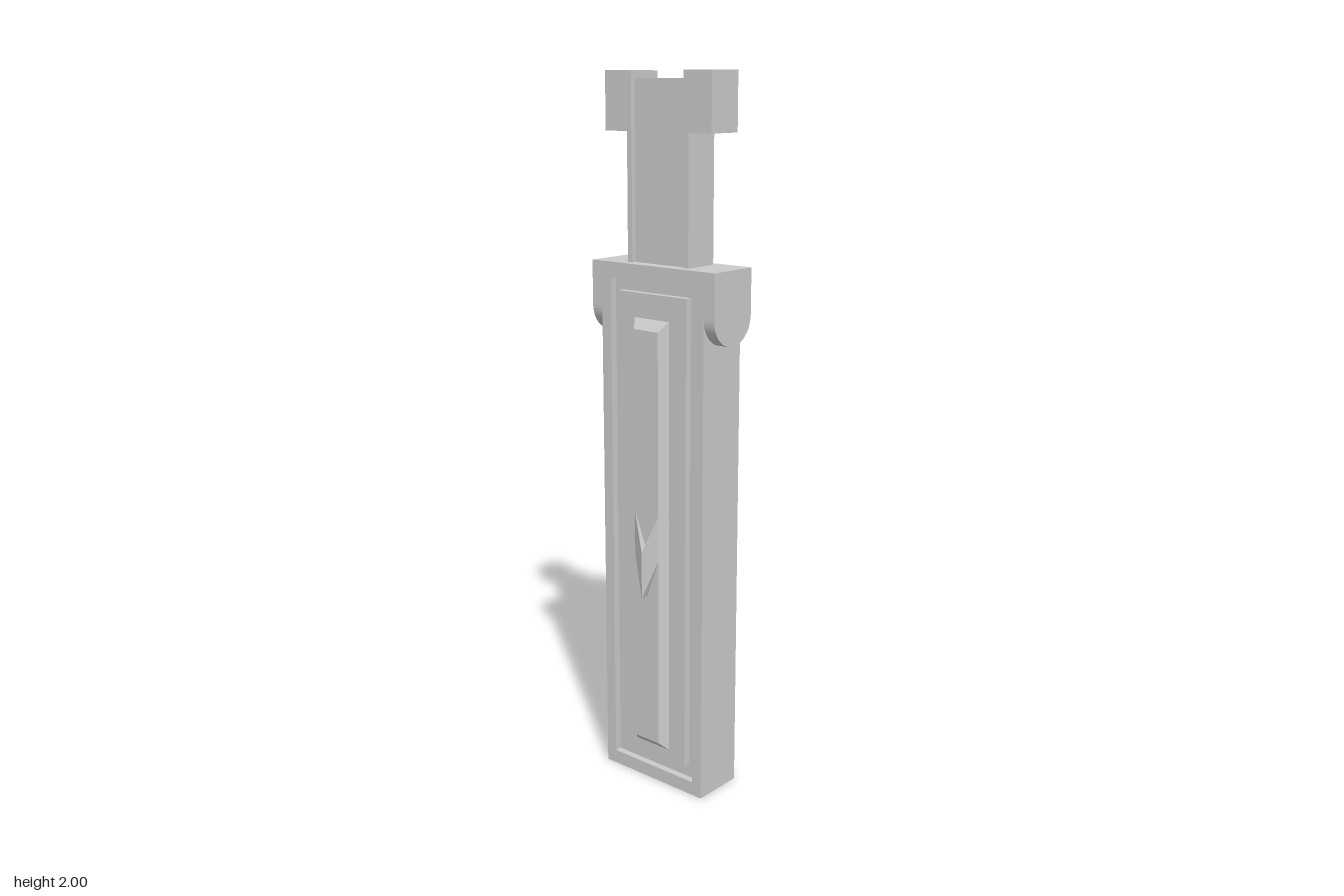
import * as THREE from 'three';

const grey = new THREE.MeshStandardMaterial({ color: 0xcccccc, flatShading: true });

function add(parent, name, geometry, x = 0, y = 0, z = 0) {
  const mesh = new THREE.Mesh(geometry, grey);
  mesh.name = name;
  mesh.position.set(x, y, z);
  parent.add(mesh);
  return mesh;
}

// Box given by its half width, vertical range and half depth
function block(parent, name, x0, x1, y0, y1, z0, z1) {
  return add(parent, name, new THREE.BoxGeometry(x1 - x0, y1 - y0, z1 - z0),
    (x0 + x1) / 2, (y0 + y1) / 2, (z0 + z1) / 2);
}

// Rectangle outline, centred on x = 0
function rect(Type, w, y0, y1) {
  return new Type([[-w, y0], [w, y0], [w, y1], [-w, y1]].map(p => new THREE.Vector2(...p)));
}

// Flat faces from convex polygons, corners counter-clockwise
function faces(polygons) {
  const pos = [];
  for (const p of polygons)
    for (let i = 1; i < p.length - 1; i++) pos.push(...p[0], ...p[i], ...p[i + 1]);
  const g = new THREE.BufferGeometry();
  g.setAttribute('position', new THREE.Float32BufferAttribute(pos, 3));
  g.computeVertexNormals();
  return g;
}

// Long bevelled bar standing out from the panel
function ridgeGeometry() {
  const ring = (w, y0, y1, z) => [[-w, y0, z], [w, y0, z], [w, y1, z], [-w, y1, z]];
  const low = ring(0.063, 0.11, 1.36, 0.075);
  const top = ring(0.042, 0.135, 1.33, 0.1);
  const sides = low.map((p, i) => [p, low[(i + 1) % 4], top[(i + 1) % 4], top[i]]);
  return faces([top, ...sides]);
}

// Pointed V that rises from the bar towards its centre line
function chevronGeometry() {
  const polygons = [];
  for (const s of [1, -1]) {
    const peak = [0, 0.71, 0.122], tip = [0, 0.575, 0.122];
    const peakBase = [0, 0.71, 0.099], tipBase = [0, 0.575, 0.099];
    const shoulder = [s * 0.043, 0.82, 0.1];
    const edge = [s * 0.043, 0.69, 0.1];
    const wing = [s * 0.065, 0.81, 0.077];
    const half = [
      [peak, tip, edge, shoulder],
      [shoulder, edge, wing],
      [peak, shoulder, peakBase],
      [tip, tipBase, edge],
    ];
    polygons.push(...half.map(p => (s > 0 ? p : p.slice().reverse())));
  }
  return faces(polygons);
}

export function createModel() {
  const model = new THREE.Group();
  model.name = 'sheathedTool';

  // Case
  block(model, 'caseCore', -0.18, 0.18, 0, 1.5, -0.057, 0.057);

  // Both broad sides carry the same frame, groove, panel and bar
  for (const side of ['front', 'back']) {
    const face = new THREE.Group();
    face.name = side + 'Face';
    if (side === 'back') face.rotation.y = Math.PI;
    const frame = rect(THREE.Shape, 0.18, 0, 1.5);
    frame.holes.push(rect(THREE.Path, 0.147, 0.04, 1.455));
    add(face, 'frame', new THREE.ExtrudeGeometry(frame, { depth: 0.02, bevelEnabled: false }), 0, 0, 0.057);
    block(face, 'panel', -0.12, 0.12, 0.08, 1.425, 0.05, 0.077);
    add(face, 'ridge', ridgeGeometry());
    add(face, 'chevron', chevronGeometry());
    model.add(face);
  }

  // Round-bottomed lugs on the narrow sides
  const lug = new THREE.Shape();
  lug.moveTo(-0.077, 1.5);
  lug.lineTo(-0.077, 1.376);
  lug.absarc(0, 1.376, 0.077, Math.PI, Math.PI * 2, false);
  lug.lineTo(0.077, 1.5);
  const lugGeometry = new THREE.ExtrudeGeometry(lug, { depth: 0.036, bevelEnabled: false, curveSegments: 14 });
  lugGeometry.rotateY(Math.PI / 2);
  add(model, 'leftLug', lugGeometry, 0.179);
  add(model, 'rightLug', lugGeometry, -0.215);

  // Upper stem with raised rails and a block at each top corner
  block(model, 'stem', -0.092, 0.092, 1.49, 1.98, -0.039, 0.039);
  for (const s of [1, -1]) {
    const name = s > 0 ? 'left' : 'right';
    const [a, b, c] = [0.09 * s, 0.106 * s, 0.182 * s];
    block(model, name + 'Rail', Math.min(a, b), Math.max(a, b), 1.49, 1.85, -0.052, 0.052);
    block(model, name + 'TopBlock', Math.min(a, c), Math.max(a, c), 1.845, 2, -0.053, 0.053);
  }
  return model;
}
